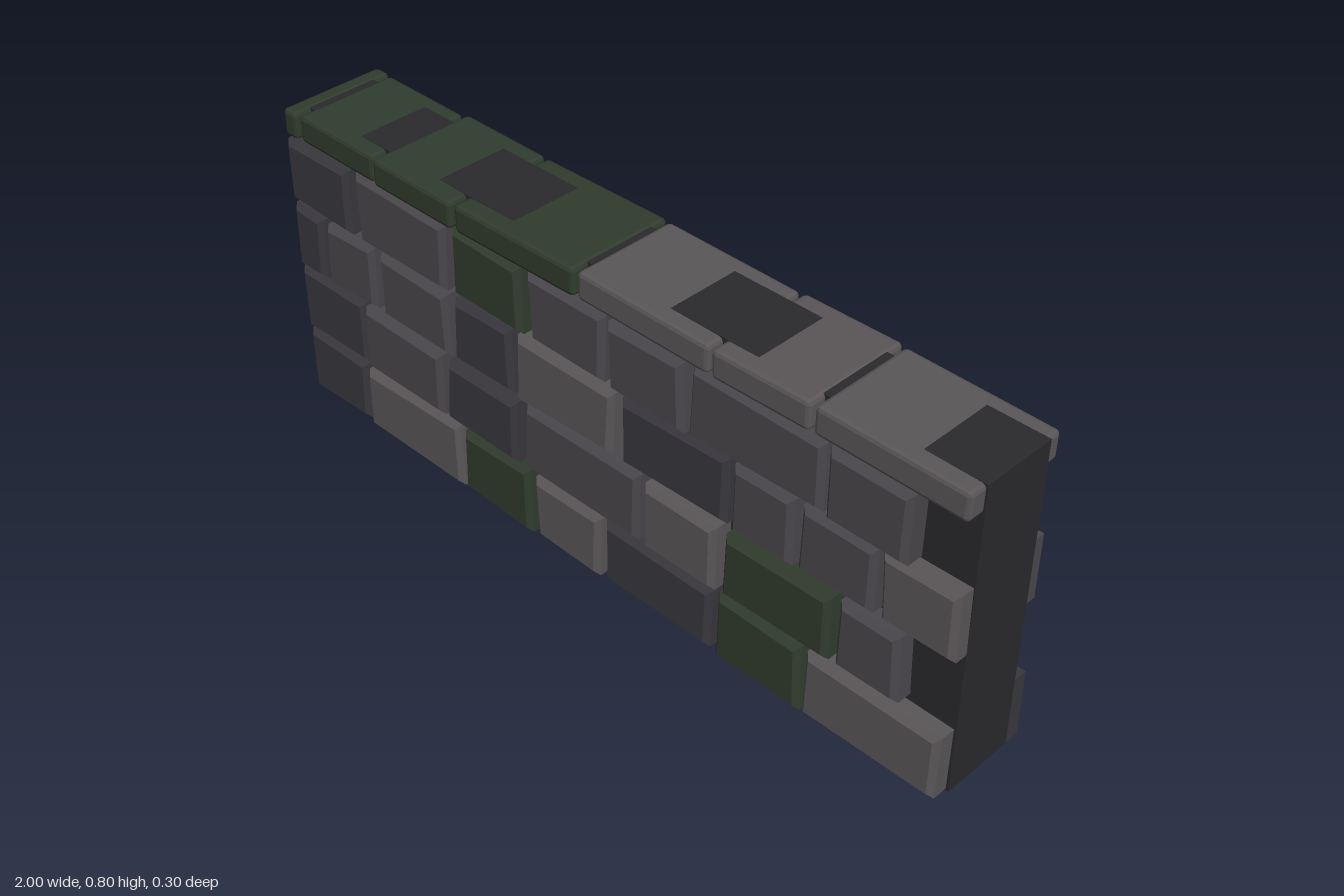
import * as THREE from 'three';
import { RoundedBoxGeometry } from 'three/addons/geometries/RoundedBoxGeometry.js';

const mat = (color) => new THREE.MeshStandardMaterial({ color, flatShading: true });
const MATS = {
  core: mat(0x2a2a2d), d: mat(0x39373d), m: mat(0x4a474c), l: mat(0x5a5658), g: mat(0x303c2e),
};

// Seeded random in the range -1..1
let seed = 7;
const rnd = () => {
  seed = (seed * 16807) % 2147483647;
  return (seed / 2147483647) * 2 - 1;
};

// Each stone: [x start, x end, colour key]; rows run from the bottom up
const FRONT = [
  [[-1, -.78, 'd'], [-.77, -.43, 'l'], [-.415, -.19, 'g'], [-.17, .035, 'l'], [.055, .37, 'd'],
    [.39, .625, 'g'], [.64, .99, 'l']],
  [[-1, -.765, 'd'], [-.75, -.475, 'm'], [-.46, -.22, 'd'], [-.2, .155, 'm'], [.175, .39, 'l'],
    [.405, .7, 'g'], [.72, .875, 'm']],
  [[-1, -.895, 'd'], [-.88, -.7, 'm'], [-.68, -.445, 'm'], [-.43, -.24, 'd'], [-.22, .08, 'l'],
    [.1, .405, 'd'], [.425, .585, 'm'], [.6, .795, 'm'], [.81, .99, 'l']],
  [[-1, -.775, 'd'], [-.75, -.445, 'm'], [-.425, -.2, 'g'], [-.18, .05, 'm'], [.07, .28, 'm'],
    [.3, .65, 'm'], [.665, .87, 'm']],
];
const BACK = [
  [[-1, -.74, 'd'], [-.73, -.515, 'd'], [-.5, -.335, 'g'], [-.325, -.135, 'm'], [-.125, .06, 'm'],
    [.07, .32, 'd'], [.33, .515, 'l'], [.53, .71, 'd'], [.72, .99, 'd']],
  [[-1, -.865, 'm'], [-.85, -.49, 'l'], [-.48, -.21, 'g'], [-.2, -.04, 'l'], [-.025, .22, 'm'],
    [.23, .475, 'd'], [.485, .755, 'm'], [.765, .93, 'd']],
  [[-1, -.785, 'm'], [-.775, -.62, 'l'], [-.61, -.35, 'l'], [-.34, .1, 'm'], [.11, .325, 'l'],
    [.335, .55, 'l'], [.56, .85, 'd'], [.86, .99, 'm']],
  [[-1, -.905, 'd'], [-.89, -.705, 'm'], [-.695, -.44, 'd'], [-.43, -.185, 'd'], [-.175, .105, 'l'],
    [.115, .48, 'm'], [.49, .67, 'l'], [.68, .94, 'd']],
];
const ROW_Y = [[.006, .177], [.19, .363], [.376, .545], [.555, .727]];
// Cap stones: [x start, x end, colour key, tilt]
const CAPS = [
  [-1, -.955, 'g', 0], [-.945, -.685, 'g', -.012], [-.675, -.415, 'g', -.012],
  [-.405, -.035, 'g', .012], [-.025, .345, 'l', -.012], [.355, .61, 'l', .012],
  [.62, .99, 'l', -.012],
];

// Slightly irregular quad stone with a chamfered outer face
function faceStone(x0, x1, y0, y1, depth) {
  const b = 0.013, start = 0.05;
  const j = () => rnd() * 0.006;
  const quad = [[x0, y0], [x1, y0], [x1, y1], [x0, y1]].map(([x, y]) => new THREE.Vector2(
    THREE.MathUtils.clamp(x + j(), -1, 1), Math.max(0, y + j())));
  const geo = new THREE.ExtrudeGeometry(new THREE.Shape(quad), {
    depth: depth - start - 2 * b, bevelEnabled: true, bevelSegments: 1,
    bevelSize: b, bevelThickness: b, bevelOffset: -b,
  });
  return geo.translate(0, 0, start + b);
}

// One wall face; the back is laid out mirrored, then turned round
function stoneFace(rows, name, back) {
  const face = new THREE.Group();
  face.name = name;
  rows.forEach((row, r) => row.forEach(([a, c, key]) => {
    const [x0, x1] = back ? [-c, -a] : [a, c];
    const stone = new THREE.Mesh(
      faceStone(x0, x1, ...ROW_Y[r], 0.146 + rnd() * 0.007), MATS[key]);
    stone.name = `${name}Stone`;
    face.add(stone);
  }));
  if (back) face.rotation.y = Math.PI;
  return face;
}

export function createModel() {
  seed = 7;
  const wall = new THREE.Group();
  wall.name = 'stoneWall';

  // Mortar core
  const core = new THREE.Mesh(new THREE.BoxGeometry(1.99, 0.8, 0.19), MATS.core);
  core.name = 'mortarCore';
  core.position.y = 0.4;
  wall.add(core);

  // Stones on both sides
  wall.add(stoneFace(FRONT, 'front', false), stoneFace(BACK, 'back', true));

  // Cap stones span the thickness; their tilt lets the core show through in places
  for (const [x0, x1, key, tilt] of CAPS) {
    const cap = new THREE.Mesh(
      new RoundedBoxGeometry(x1 - x0, 0.07, 0.28 + rnd() * 0.008, 1, 0.01), MATS[key]);
    cap.name = 'capStone';
    cap.position.set((x0 + x1) / 2, tilt ? 0.7655 : 0.767, rnd() * 0.003);
    cap.rotation.z = tilt;
    wall.add(cap);
  }
  return wall;
}
